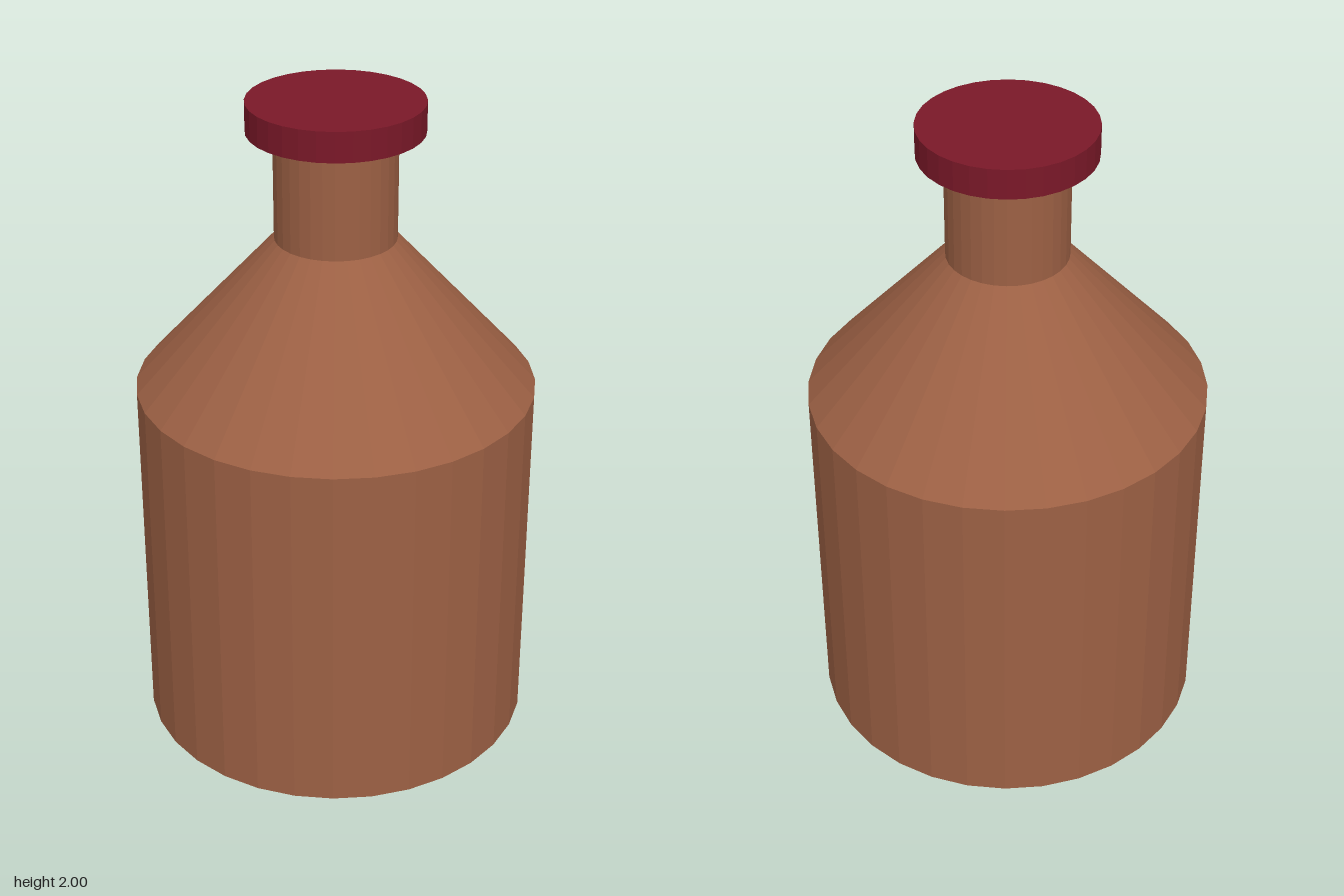
import * as THREE from 'three';

const SIDES = 32;

export function createModel() {
  const group = new THREE.Group();
  const clay = new THREE.MeshStandardMaterial({ color: 0x9c6044, flatShading: true });
  const red = new THREE.MeshStandardMaterial({ color: 0x7a1828, flatShading: true });

  // Adds a round section from height y0 to y1
  const section = (name, rBottom, rTop, y0, y1, material, open = false) => {
    const geometry = new THREE.CylinderGeometry(rTop, rBottom, y1 - y0, SIDES, 1, open);
    const mesh = new THREE.Mesh(geometry, material);
    mesh.name = name;
    mesh.position.y = (y0 + y1) / 2;
    group.add(mesh);
  };

  // Bottle, from the base upwards
  section('body', 0.6, 0.6, 0, 1.12, clay);
  section('shoulder', 0.6, 0.18, 1.12, 1.585, clay, true);
  section('neck', 0.18, 0.18, 1.585, 1.91, clay, true);

  // Flat disc stopper
  section('cap', 0.258, 0.258, 1.91, 2, red);

  return group;
}
